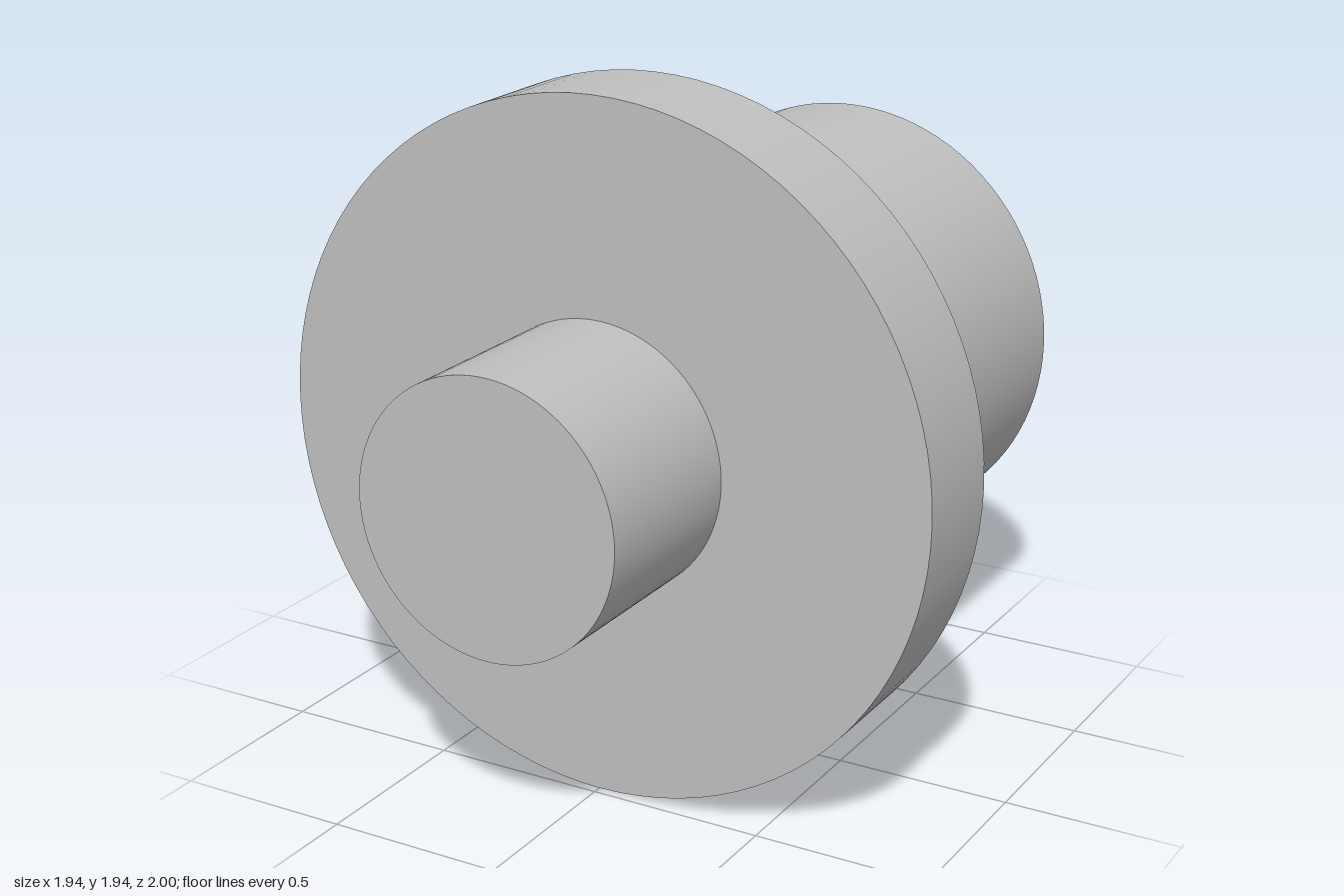
import * as THREE from 'three';

const SIDES = 96;
const AXIS_Y = 0.968; // height of the shaft axis

export function createModel() {
  const model = new THREE.Group();
  model.name = 'flangedShaft';
  const steel = new THREE.MeshStandardMaterial({ color: 0xbfbfbf });
  steel.name = 'plain grey';

  const add = (name, geometry, z) => {
    const mesh = new THREE.Mesh(geometry, steel);
    mesh.name = name;
    mesh.position.set(0, AXIS_Y, z);
    model.add(mesh);
  };

  // Curved wall of a cylinder lying along z
  const wall = (name, radius, z0, z1) => {
    const geometry = new THREE.CylinderGeometry(radius, radius, z1 - z0, SIDES, 1, true);
    add(name, geometry.rotateX(Math.PI / 2), (z0 + z1) / 2);
  };

  // Flat end disc, or a ring when it has an inner radius
  const face = (name, inner, outer, z, facing) => {
    const geometry = inner > 0
      ? new THREE.RingGeometry(inner, outer, SIDES)
      : new THREE.CircleGeometry(outer, SIDES);
    if (facing < 0) geometry.rotateY(Math.PI);
    add(name, geometry, z);
  };

  const pin = 0.377, flange = 0.968, body = 0.652;
  const flangeBack = 0.16, flangeFront = 0.475;

  // Thin front pin
  wall('frontPin', pin, flangeFront, 1);
  face('frontPinEnd', 0, pin, 1, 1);

  // Wide flange with its two shoulders
  wall('flangeRim', flange, flangeBack, flangeFront);
  face('flangeFrontFace', pin, flange, flangeFront, 1);
  face('flangeBackFace', body, flange, flangeBack, -1);

  // Thick rear body
  wall('rearBody', body, -1, flangeBack);
  face('rearBodyEnd', 0, body, -1, -1);

  return model;
}
